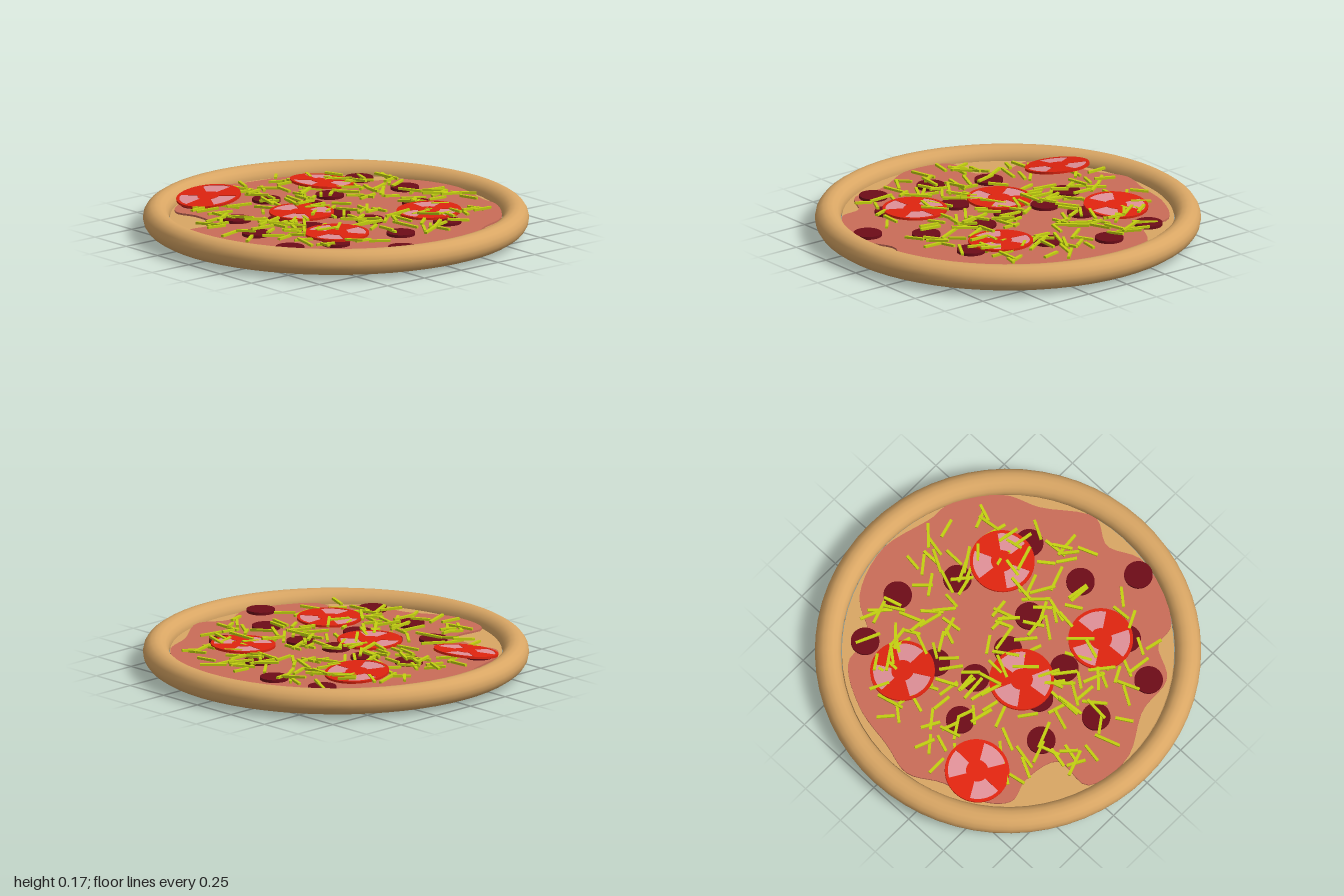
import * as THREE from 'three';

const mat = (color) => new THREE.MeshStandardMaterial({ color });
const crustMat = mat(0xd9a664);
const sauceMat = mat(0xca6c58);
const sausageMat = mat(0x6e0c18);
const tomatoMat = mat(0xe0240f);
const pulpMat = mat(0xe09098);
const cheeseMat = mat(0xc3d010);

function add(parent, name, geometry, material, x = 0, y = 0, z = 0) {
  const mesh = new THREE.Mesh(geometry, material);
  mesh.name = name;
  mesh.position.set(x, y, z);
  parent.add(mesh);
  return mesh;
}

// Extrudes a shape drawn in (x, -z) upwards from y = 0
function slab(shape, height) {
  const geo = new THREE.ExtrudeGeometry(shape, { depth: height, bevelEnabled: false, curveSegments: 24 });
  return geo.rotateX(-Math.PI / 2);
}

// Sector between two radii, used for the tomato chambers
function sector(Curve, r0, r1, a0, a1) {
  const s = new Curve();
  s.absarc(0, 0, r1, a0, a1, false);
  s.absarc(0, 0, r0, a1, a0, true);
  s.closePath();
  return s;
}

function tomatoSlice() {
  const slice = new THREE.Group();
  const disc = new THREE.Shape().absarc(0, 0, 0.168, 0, Math.PI * 2, false);
  for (let i = 0; i < 3; i++) {
    const a = (i * Math.PI * 2) / 3;
    disc.holes.push(sector(THREE.Path, 0.058, 0.152, a, a + 1.05));
    const pulp = sector(THREE.Shape, 0.058, 0.152, a, a + 1.05);
    add(slice, 'tomatoPulp', slab(pulp, 0.009), pulpMat, 0, 0.001, 0);
  }
  add(slice, 'tomatoFlesh', slab(disc, 0.012), tomatoMat);
  return slice;
}

function seeded(seed) {
  return () => {
    seed = (seed * 16807) % 2147483647;
    return seed / 2147483647;
  };
}

export function createModel() {
  const pizza = new THREE.Group();
  pizza.name = 'pizza';

  // Dough base and rounded rim
  add(pizza, 'base', new THREE.CylinderGeometry(0.86, 0.86, 0.09, 64), crustMat, 0, 0.045, 0);
  const rim = new THREE.TorusGeometry(0.932, 0.068, 16, 64).rotateX(Math.PI / 2);
  add(pizza, 'crust', rim, crustMat, 0, 0.088, 0);

  // Wavy layer of sauce, outline as x, z pairs
  const outline = [
    [-0.09, -0.85], [0.09, -0.81], [0.33, -0.76], [0.55, -0.62], [0.57, -0.45], [0.76, -0.32],
    [0.855, -0.05], [0.79, 0.25], [0.78, 0.36], [0.61, 0.6], [0.43, 0.68], [0.18, 0.84],
    [0.03, 0.77], [-0.16, 0.84], [-0.51, 0.69], [-0.54, 0.56], [-0.7, 0.46], [-0.73, 0.25],
    [-0.855, 0], [-0.81, -0.25], [-0.61, -0.26], [-0.56, -0.45], [-0.59, -0.58], [-0.5, -0.68],
    [-0.26, -0.76],
  ].map(([x, z]) => new THREE.Vector3(x, -z, 0));
  const wave = new THREE.CatmullRomCurve3(outline, true).getPoints(120);
  const sauce = new THREE.Shape(wave.slice(0, -1).map((p) => new THREE.Vector2(p.x, p.y)));
  add(pizza, 'sauce', slab(sauce, 0.02), sauceMat, 0, 0.08, 0);

  // Round sausage slices, x and z
  const sausage = new THREE.CylinderGeometry(0.074, 0.074, 0.016, 28);
  [
    [-0.43, -0.62], [-0.09, -0.45], [0.565, -0.48], [0.22, -0.31], [0.62, -0.18], [0.015, -0.23],
    [-0.47, -0.24], [-0.3, -0.08], [-0.585, 0.05], [0, 0], [0.46, 0.1], [0.05, 0.21],
    [-0.28, 0.13], [-0.64, 0.385], [-0.4, 0.47], [-0.01, 0.53], [0.33, 0.5], [-0.2, 0.765],
  ].forEach(([x, z]) => add(pizza, 'sausageSlice', sausage, sausageMat, x, 0.107, z));

  // Tomato slices: x, y, z, turn, tilt
  [
    [-0.355, 0.134, -0.6, 0.0, 0.14],
    [0.305, 0.13, -0.47, 0.5, -0.08],
    [-0.17, 0.122, -0.075, 1.15, 0],
    [-0.31, 0.122, 0.37, 1.1, 0],
    [0.355, 0.122, 0.325, 0.4, 0.03],
  ].forEach(([x, y, z, turn, tilt]) => {
    const slice = tomatoSlice();
    slice.name = 'tomatoSlice';
    slice.position.set(x, y, z);
    slice.rotation.set(0, turn, tilt, 'ZYX');
    pizza.add(slice);
  });

  // Scattered cheese shreds
  const rnd = seeded(4711);
  const shred = new THREE.BoxGeometry(1, 0.012, 0.015);
  for (let i = 0; i < 190; i++) {
    const r = 0.76 * Math.pow(rnd(), 0.6);
    const a = rnd() * Math.PI * 2;
    const y = 0.118 + rnd() * 0.024;
    const mesh = add(pizza, 'cheeseShred', shred, cheeseMat, r * Math.cos(a), y, r * Math.sin(a));
    mesh.scale.x = 0.09 + rnd() * 0.06;
    mesh.rotation.set(0, rnd() * Math.PI, (rnd() - 0.5) * 0.25);
  }
  return pizza;
}
